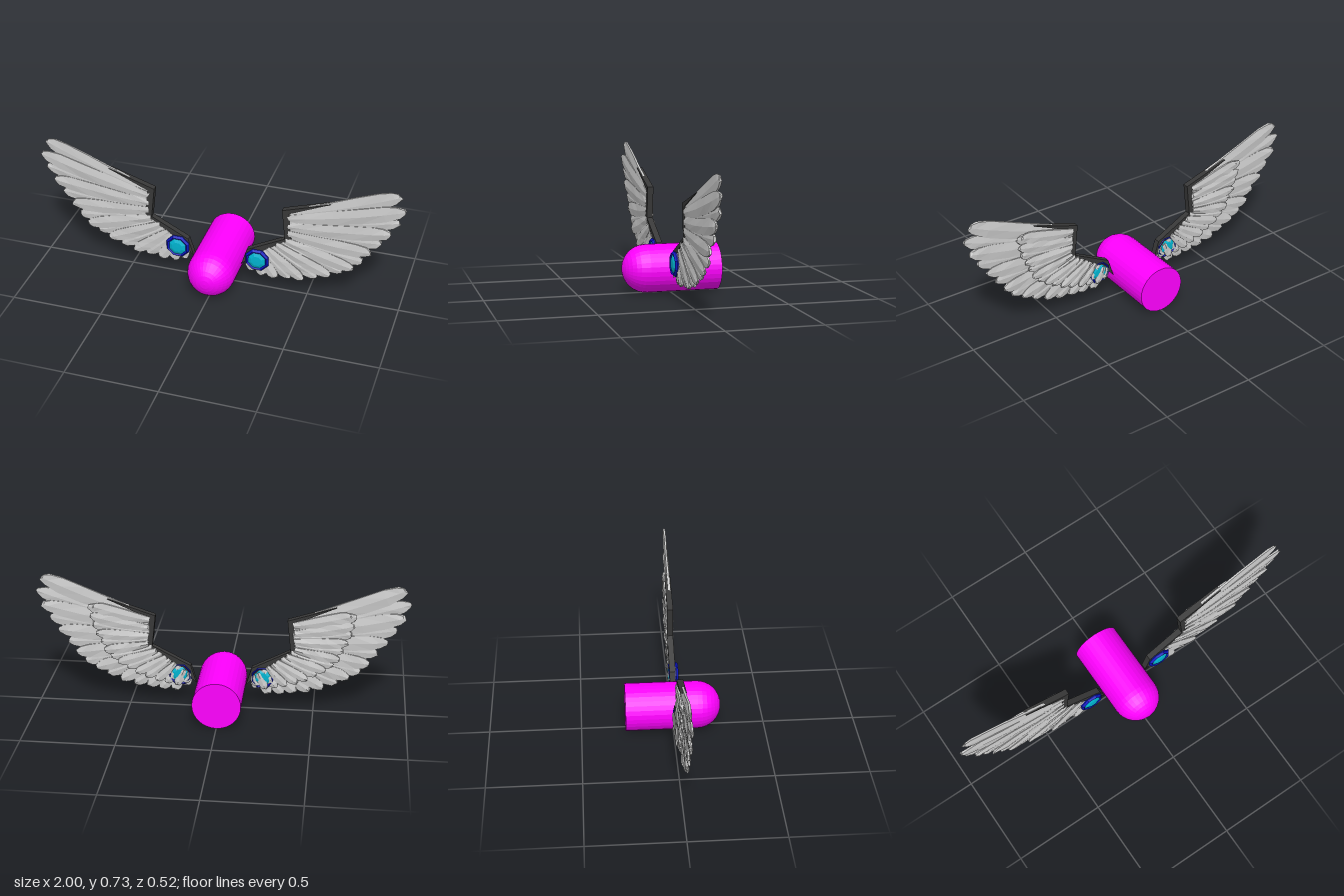
import * as THREE from 'three';

const paint = (color) => new THREE.MeshStandardMaterial({ color, flatShading: true });
const grey = paint(0xcccccc);
const dark = paint(0x383838);
const blue = paint(0x0a14c0);
const cyan = paint(0x00b4d0);
const magenta = paint(0xff00ff);

const v2 = (a) => new THREE.Vector2(a[0], a[1]);
const profile = (list) => list.map(v2);

function mesh(name, geometry, material, parent) {
  const m = new THREE.Mesh(geometry, material);
  m.name = name;
  parent.add(m);
}

// Small repeatable noise in -1..1
const noise = (n) => {
  const s = Math.sin(n * 12.9898) * 43758.5453;
  return (s - Math.floor(s)) * 2 - 1;
};

// [position along the vane, relative width, relative thickness]
const SECTIONS = [
  [0, 0.5, 0.8], [0.15, 0.7, 1], [0.4, 0.9, 1], [0.62, 1, 1],
  [0.83, 0.98, 0.95], [0.94, 0.74, 0.9], [1, 0.34, 0.75],
];

// Six-sided chiselled feather lofted along a gently bowed centre line
function featherGeometry(root, tip, width, z, half, side, seed) {
  const a = v2(root), b = v2(tip);
  const dir = b.clone().sub(a), len = dir.length();
  const across = new THREE.Vector2(-dir.y, dir.x).divideScalar(len);
  const mid = a.clone().lerp(b, 0.5).addScaledVector(across, -0.035 * len);
  const curve = new THREE.QuadraticBezierCurve(a, mid, b);
  const pos = [], idx = [];
  SECTIONS.forEach(([t, w, h], i) => {
    const p = curve.getPoint(t);
    const q = curve.getTangent(t);
    const n = new THREE.Vector2(-q.y, q.x);
    const hw = width * w / 2;
    const loop = [[hw, 0.5], [0, 1], [-hw, 0.5], [-hw, -0.5], [0, -1], [hw, -0.5]];
    loop.forEach(([u, d], k) => {
      const wob = noise(seed * 17 + i * 7 + k) * 0.09 * width;
      const x = p.x + n.x * u + q.x * wob;
      const y = p.y + n.y * u + q.y * wob;
      const zz = z + half * h * (d + 0.2 * noise(seed * 31 + i * 11 + k));
      pos.push(side * x, y, zz);
    });
  });
  const tri = (p, q, r) => (side > 0 ? idx.push(p, q, r) : idx.push(p, r, q));
  const last = (SECTIONS.length - 1) * 6;
  for (let i = 0; i < last; i += 6) {
    for (let k = 0; k < 6; k++) {
      const c = i + k, d = i + (k + 1) % 6;
      tri(c, d, c + 6);
      tri(d, d + 6, c + 6);
    }
  }
  for (let k = 1; k < 5; k++) {
    tri(0, k + 1, k);
    tri(last, last + k, last + k + 1);
  }
  const g = new THREE.BufferGeometry();
  g.setAttribute('position', new THREE.Float32BufferAttribute(pos, 3));
  g.setIndex(idx);
  g.computeVertexNormals();
  return g;
}

const TIPS = [
  [0.965, 0.715], [0.995, 0.635], [0.965, 0.56], [0.93, 0.485], [0.88, 0.415],
  [0.83, 0.35], [0.79, 0.285], [0.74, 0.235], [0.685, 0.2], [0.62, 0.165],
  [0.55, 0.135], [0.475, 0.11], [0.4, 0.1], [0.33, 0.088], [0.26, 0.088], [0.2, 0.115],
];

// Feather roots run down the upper arm, then in along the lower arm
function rootAt(i) {
  const f = i < 7 ? i / 6 : (i - 7) / 8;
  const [a, b] = i < 7 ? [[0.385, 0.5], [0.395, 0.36]] : [[0.375, 0.34], [0.175, 0.2]];
  return v2(a).lerp(v2(b), f).toArray();
}

function createWing(side) {
  const wing = new THREE.Group();
  wing.name = side > 0 ? 'leftWing' : 'rightWing';

  // Bent arm along the leading edge, fading to a point
  const outline = [
    [0.134, 0.138], [0.165, 0.24], [0.372, 0.348], [0.353, 0.524], [0.61, 0.608],
    [0.392, 0.51], [0.408, 0.358], [0.2, 0.21],
  ].map(([x, y]) => new THREE.Vector2(x * side, y));
  const arm = new THREE.ExtrudeGeometry(new THREE.Shape(outline), { depth: 0.033, bevelEnabled: false });
  arm.translate(0, 0, -0.005);
  mesh('wingArm', arm, dark, wing);

  // Long flight feathers in front, shorter coverts behind
  TIPS.forEach((tip, i) => {
    const root = rootAt(i);
    const size = THREE.MathUtils.lerp(0.092, 0.058, i / 15);
    const shift = (i % 2 ? 1 : -1) * 0.003;
    mesh('flightFeather', featherGeometry(root, tip, size, 0.019 + shift, 0.011, side, i + 1), grey, wing);
    const reach = THREE.MathUtils.lerp(0.52, 0.72, i / 15);
    const end = v2(root).lerp(v2(tip), reach).toArray();
    if (i === 0) end[1] -= 0.045;
    mesh('covertFeather', featherGeometry(root, end, size * 0.72, -0.003 + shift, 0.01, side, i + 40), grey, wing);
  });

  // Octagonal setting with a faceted stone showing on both faces
  const jewel = new THREE.Group();
  jewel.name = 'jewel';
  const ring = [[0.05, -0.021], [0.059, -0.027], [0.069, -0.015], [0.069, 0.015],
    [0.059, 0.027], [0.05, 0.021], [0.05, -0.021]];
  const stone = [[0, -0.03], [0.03, -0.029], [0.053, -0.02], [0.053, 0.02], [0.03, 0.029], [0, 0.03]];
  mesh('jewelSetting', new THREE.LatheGeometry(profile(ring), 8), blue, jewel);
  mesh('jewelStone', new THREE.LatheGeometry(profile(stone), 8), cyan, jewel);
  jewel.rotation.set(Math.PI / 2, Math.PI / 8, 0);
  jewel.position.set(0.224 * side, 0.187, 0.018);
  wing.add(jewel);
  return wing;
}

export function createModel() {
  const model = new THREE.Group();
  model.name = 'wingedCapsule';

  // Body: flat-backed cylinder with a round nose
  const body = new THREE.Group();
  body.name = 'body';
  const r = 0.13;
  const barrel = new THREE.CylinderGeometry(r, r, 0.39, 32, 1, true);
  barrel.rotateX(Math.PI / 2).translate(0, r, -0.065);
  mesh('bodyBarrel', barrel, magenta, body);
  const nose = new THREE.SphereGeometry(r, 32, 8, 0, Math.PI * 2, 0, Math.PI / 2);
  nose.rotateX(Math.PI / 2).translate(0, r, r);
  mesh('bodyNose', nose, magenta, body);
  const back = new THREE.CircleGeometry(r, 32);
  back.rotateY(Math.PI).translate(0, r, -0.26);
  mesh('bodyBack', back, magenta, body);
  model.add(body);

  for (const side of [1, -1]) model.add(createWing(side));
  return model;
}
